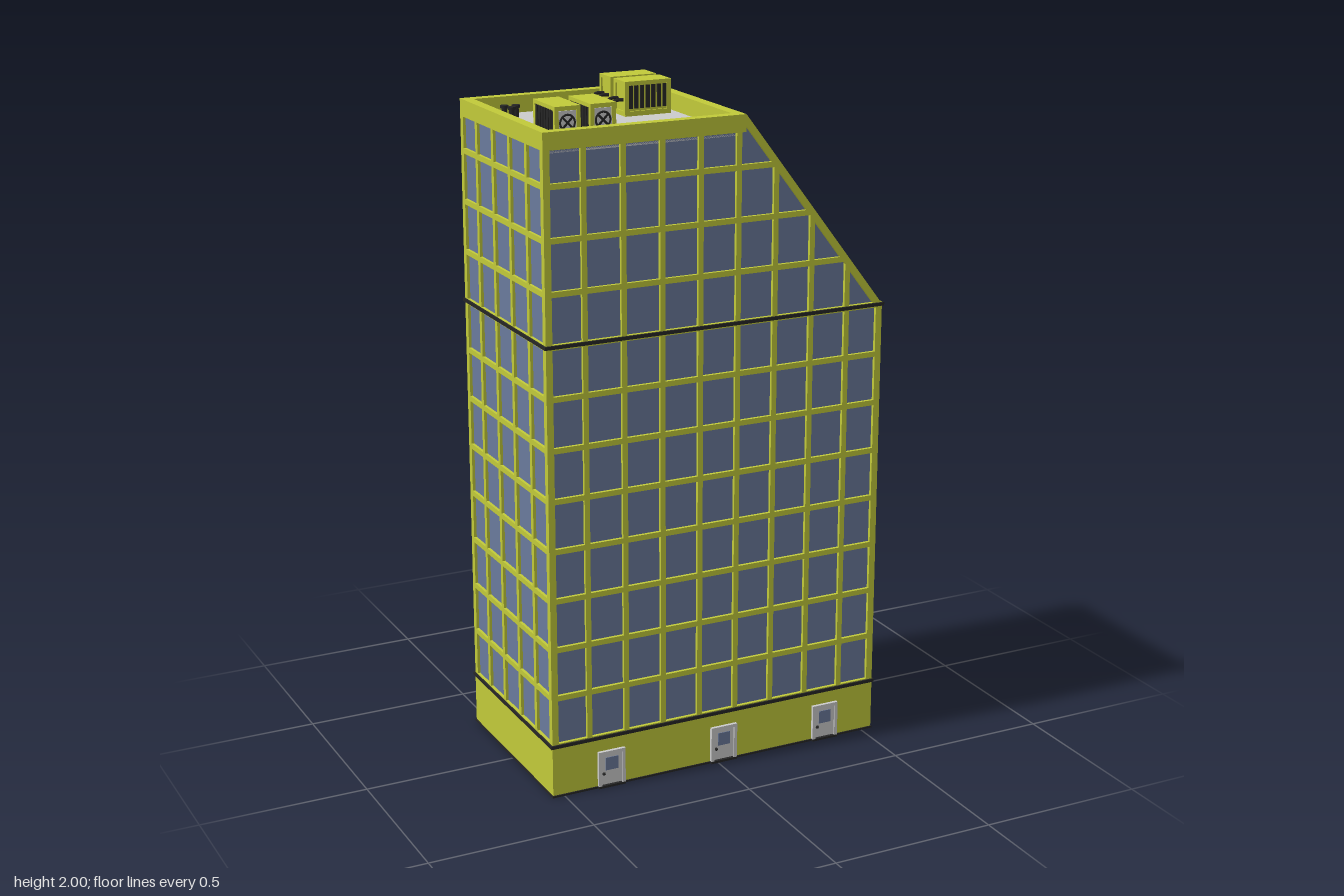
import * as THREE from 'three';

const mat = (color) => new THREE.MeshStandardMaterial({ color, side: THREE.DoubleSide });
const YELLOW = mat(0xc2ca3a), GLASS = mat(0x6a7a9c), GREY = mat(0xcccccc), DARK = mat(0x262626);

// Main dimensions
const X = 0.535, Z = 0.295, BASE = 0.16, MID = 1.355, TOP = 1.95, RIDGE = 0.08;
const T = 0.02, W = 0.016, FLOORS = 12, COLS = 9, ROWS = 5;
const slopeX = (y) => (y <= MID ? X : X - (y - MID) * (X - RIDGE) / (TOP - MID));
const slopeY = (x) => (x <= RIDGE ? TOP : TOP - (x - RIDGE) * (TOP - MID) / (X - RIDGE));
const floorY = (i) => BASE + (TOP - BASE) * i / FLOORS;

function group(name, parent) {
  const g = new THREE.Group();
  g.name = name;
  parent.add(g);
  return g;
}

function add(parent, name, geo, material, x = 0, y = 0, z = 0) {
  const m = new THREE.Mesh(geo, material);
  m.name = name;
  m.position.set(x, y, z);
  parent.add(m);
  return m;
}

const box = (parent, name, material, w, h, d, x, y, z) =>
  add(parent, name, new THREE.BoxGeometry(w, h, d), material, x, y, z);

// Straight bar between two points of the xy plane
function bar(parent, name, x1, y1, x2, y2, w, d, z, material = YELLOW) {
  const m = box(parent, name, material, Math.hypot(x2 - x1, y2 - y1), w, d, (x1 + x2) / 2, (y1 + y2) / 2, z);
  m.rotation.z = Math.atan2(y2 - y1, x2 - x1);
  return m;
}

// Rectangular hollow ring with vertical walls
function ring(parent, name, material, x0, x1, z0, z1, thick, y0, y1) {
  const s = new THREE.Shape();
  s.moveTo(x0, -z1).lineTo(x1, -z1).lineTo(x1, -z0).lineTo(x0, -z0).closePath();
  const h = new THREE.Path();
  const t = thick;
  h.moveTo(x0 + t, -z1 + t).lineTo(x0 + t, -z0 - t).lineTo(x1 - t, -z0 - t).lineTo(x1 - t, -z1 + t).closePath();
  s.holes.push(h);
  const geo = new THREE.ExtrudeGeometry(s, { depth: y1 - y0, bevelEnabled: false });
  geo.rotateX(-Math.PI / 2);
  return add(parent, name, geo, material, 0, y0, 0);
}

// Front or back curtain wall with the cut-off corner
function longWall(parent, name, side) {
  const g = group(name, parent), z = side * (Z - T / 2), e = W / 2;
  const s = new THREE.Shape();
  s.moveTo(-X + 0.01, BASE).lineTo(X - 0.01, BASE).lineTo(X - 0.01, MID).lineTo(RIDGE - 0.01, TOP - 0.005).lineTo(-X + 0.01, TOP - 0.005);
  add(g, 'glazing', new THREE.ShapeGeometry(s), GLASS, 0, 0, z);
  for (let i = 0; i <= FLOORS; i++) {
    const y = i === FLOORS ? TOP - e : floorY(i);
    bar(g, 'floorRail', -X, y, slopeX(y + e), y, W, T, z);
  }
  for (let i = 0; i <= COLS; i++) {
    const x = THREE.MathUtils.clamp(-X + 2 * X * i / COLS, -X + e, X - e);
    bar(g, 'mullion', x, BASE, x, slopeY(x + e), W, T, z);
  }
  bar(g, 'rake', X - 0.012, MID, RIDGE - 0.012, TOP - 0.004, W, T, z);
}

// Left or right curtain wall up to a given floor
function endWall(parent, name, side, floors) {
  const g = group(name, parent), x = side * (X - T / 2), top = floorY(floors), h = top - BASE;
  box(g, 'glazing', GLASS, 0.003, h, 2 * Z - T, x, BASE + h / 2, 0);
  for (let i = 0; i <= floors; i++)
    box(g, 'floorRail', YELLOW, T, W, 2 * Z, x, i === FLOORS ? TOP - W / 2 : floorY(i), 0);
  for (let i = 0; i <= ROWS; i++) {
    const z = THREE.MathUtils.clamp(-Z + 2 * Z * i / ROWS, -Z + W / 2, Z - W / 2);
    box(g, 'mullion', YELLOW, T, h, W, x, BASE + h / 2, z);
  }
}

// Sloping glass roof
function slope(parent) {
  const g = group('slopedGlazing', parent);
  const len = Math.hypot(X - RIDGE, TOP - MID);
  const ox = -0.01 * (TOP - MID) / len, oy = -0.01 * (X - RIDGE) / len;
  const x1 = X + ox, y1 = MID + oy, x2 = RIDGE + ox, y2 = TOP + oy;
  bar(g, 'glazing', x1, y1, x2, y2, 0.003, 2 * Z - T, 0, GLASS);
  for (let i = 0; i <= ROWS; i++) {
    const z = THREE.MathUtils.clamp(-Z + 2 * Z * i / ROWS, -Z + W / 2, Z - W / 2);
    bar(g, 'slopeMullion', x1, y1, x2, y2, T, W, z);
  }
  for (let i = 0; i <= 4; i++) {
    const t = THREE.MathUtils.clamp(i / 4, 0.01, 0.99), d = 0.01;
    const at = (k) => [x1 + (x2 - x1) * k, y1 + (y2 - y1) * k];
    bar(g, 'slopeRail', ...at(t - d), ...at(t + d), T, 2 * Z, 0);
  }
}

function door(parent, x, side) {
  const g = group('door', parent);
  g.position.set(x, 0, side * Z);
  if (side < 0) g.rotation.y = Math.PI;
  box(g, 'doorLeaf', GREY, 0.066, 0.098, 0.006, 0, 0.059, 0.003);
  for (const s of [-1, 1]) box(g, 'doorJamb', GREY, 0.01, 0.108, 0.01, s * 0.038, 0.061, 0.005);
  box(g, 'doorHead', GREY, 0.086, 0.01, 0.01, 0, 0.111, 0.005);
  box(g, 'doorSill', DARK, 0.086, 0.007, 0.01, 0, 0.0035, 0.005);
  box(g, 'doorWindow', GLASS, 0.04, 0.04, 0.004, 0, 0.075, 0.006);
  add(g, 'doorKnob', new THREE.SphereGeometry(0.005, 10, 8), DARK, -0.026, 0.045, 0.008);
}

// Rooftop cooling unit: fan towards +z, pipes towards -z
function coolingUnit(parent, x, z, turn) {
  const g = group('coolingUnit', parent), h = 0.1, w = 0.077, l = 0.146;
  g.position.set(x, 1.9, z);
  g.rotation.y = turn;
  box(g, 'unitBody', YELLOW, w - 0.01, h - 0.004, l - 0.01, 0, h / 2, 0);
  box(g, 'unitLid', YELLOW, w, 0.01, l, 0, h - 0.005, 0);
  box(g, 'unitFoot', YELLOW, w, 0.014, l, 0, 0.007, 0);
  for (const sx of [-1, 1]) {
    for (const sz of [-1, 1])
      box(g, 'unitCorner', YELLOW, 0.012, h, 0.012, sx * (w / 2 - 0.006), h / 2, sz * (l / 2 - 0.006));
    for (let i = 0; i < 7; i++)
      box(g, 'grilleSlat', DARK, 0.005, 0.066, 0.012, sx * (w / 2 - 0.004), 0.054, -0.054 + i * 0.018);
  }
  box(g, 'fanPanel', GREY, 0.052, 0.07, 0.004, 0, 0.052, l / 2 - 0.004);
  const ringMesh = add(g, 'fanRing', new THREE.TorusGeometry(0.022, 0.003, 6, 20), DARK, 0, 0.054, l / 2 - 0.002);
  ringMesh.scale.z = 0.6;
  for (let i = 0; i < 2; i++)
    box(g, 'fanBlade', DARK, 0.04, 0.006, 0.002, 0, 0.054, l / 2 - 0.001).rotation.z = Math.PI / 4 + i * Math.PI / 2;
  for (const s of [-1, 1]) {
    const path = new THREE.CatmullRomCurve3([[0.045, -0.06], [0.045, -0.095], [0.035, -0.104], [0, -0.104]]
      .map(([y, pz]) => new THREE.Vector3(s * 0.019, y, pz)));
    add(g, 'pipe', new THREE.TubeGeometry(path, 12, 0.005, 8), DARK);
  }
}

export function createModel() {
  const model = new THREE.Group();
  model.name = 'officeTower';

  // Hollow ground floor, open underneath
  ring(model, 'baseWall', YELLOW, -X, X, -Z, Z, 0.012, 0, BASE);
  ring(model, 'plinth', DARK, -X - 0.003, X + 0.003, -Z - 0.003, Z + 0.003, 0.006, 0, 0.006);
  for (const side of [-1, 1]) for (const x of [-0.35, 0.02, 0.367]) door(model, x, side);

  // Glazed walls
  longWall(model, 'frontWall', 1);
  longWall(model, 'backWall', -1);
  endWall(model, 'rightWall', -1, FLOORS);
  endWall(model, 'leftWall', 1, 8);
  slope(model);

  // Dark string courses
  for (const y of [BASE, MID])
    ring(model, 'stringCourse', DARK, -X - 0.005, X + 0.005, -Z - 0.005, Z + 0.005, 0.016, y - 0.005, y + 0.005);

  // Flat roof and parapet
  ring(model, 'parapet', YELLOW, -X, RIDGE, -Z, Z, 0.031, 1.9, TOP);
  box(model, 'roofDeck', GREY, RIDGE + X - 0.02, 0.01, 2 * Z - 0.02, (RIDGE - X) / 2, 1.895, 0);

  // Rooftop equipment
  coolingUnit(model, -0.425, 0.143, 0);
  coolingUnit(model, -0.319, 0.143, 0);
  coolingUnit(model, -0.048, -0.198, Math.PI / 2);
  coolingUnit(model, -0.048, -0.101, Math.PI / 2);
  for (const [x, z] of [[-0.435, -0.205], [-0.402, -0.198], [-0.425, -0.175]]) {
    add(model, 'ventPipe', new THREE.CylinderGeometry(0.008, 0.008, 0.03, 10), DARK, x, 1.915, z);
    add(model, 'ventCap', new THREE.CylinderGeometry(0.012, 0.012, 0.008, 10), DARK, x, 1.932, z);
  }
  return model;
}
